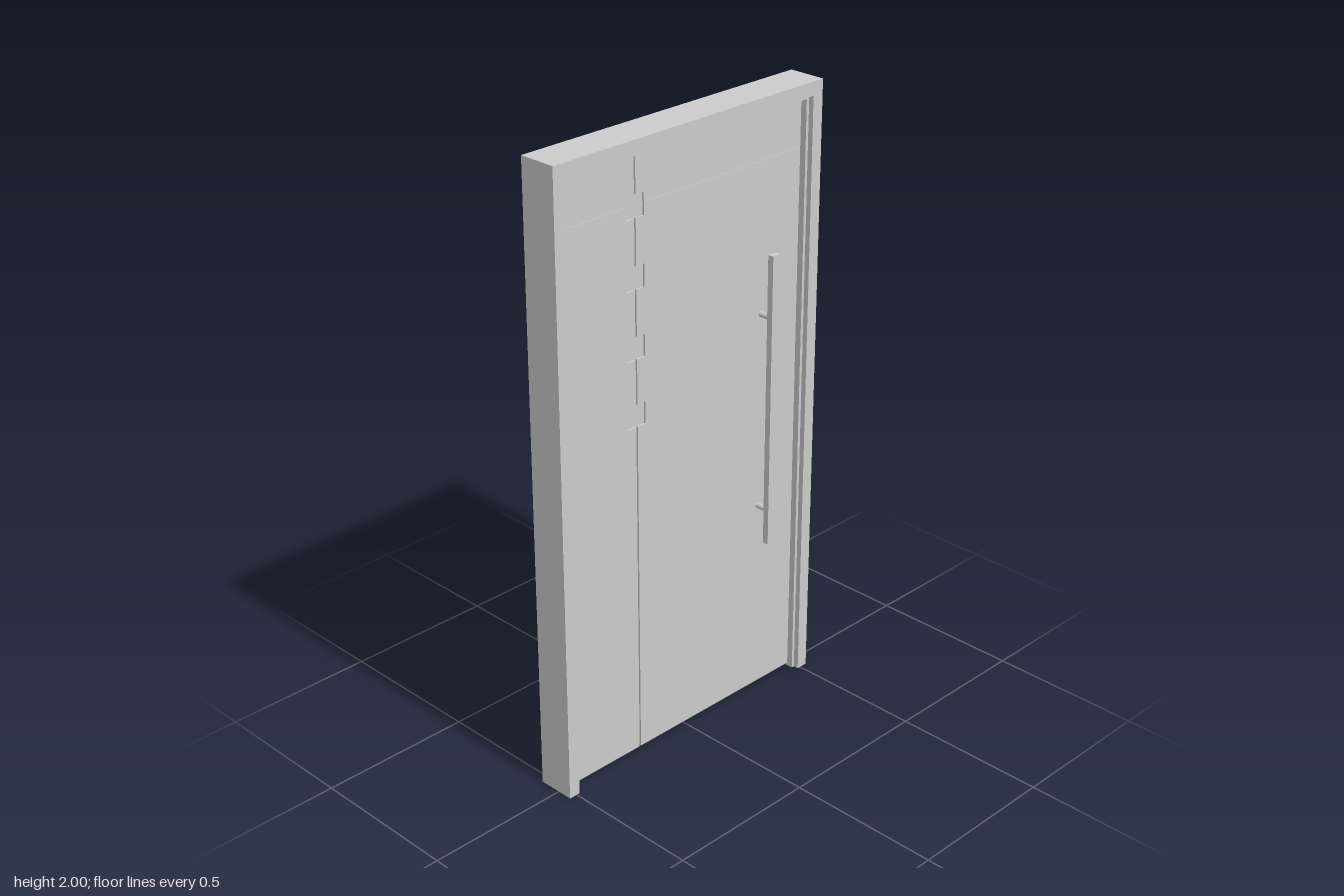
import * as THREE from 'three';

const material = new THREE.MeshStandardMaterial({ color: 0xcccccc });

function add(parent, name, geometry, x = 0, y = 0, z = 0) {
  const mesh = new THREE.Mesh(geometry, material);
  mesh.name = name;
  mesh.position.set(x, y, z);
  parent.add(mesh);
  return mesh;
}

// U-shaped surround, open at the bottom, extruded from z0 to z1
function surround(outerX, outerY, innerX, innerY, z0, z1) {
  const shape = new THREE.Shape([
    [-outerX, 0], [-innerX, 0], [-innerX, innerY], [innerX, innerY],
    [innerX, 0], [outerX, 0], [outerX, outerY], [-outerX, outerY],
  ].map(([x, y]) => new THREE.Vector2(x, y)));
  return new THREE.ExtrudeGeometry(shape, { depth: z1 - z0, bevelEnabled: false }).translate(0, 0, z0);
}

const DOOR = { halfWidth: 0.478, bottom: 0.01, top: 1.945, front: 0.012, back: -0.012 };
const SKIN = 0.006;               // depth of grooves and recesses
const GROOVE_X = -0.197;
const GROOVE_HALF = 0.0035;
const SEAM_Y = 1.795;
const RECESS_HALF = 0.035;
const RECESS_Y = [1.15, 1.363, 1.577, 1.79];

// Face board on one side of the groove, notched by the square recesses
function faceBoard(outerX, side, y0, y1) {
  const edge = GROOVE_X + side * GROOVE_HALF;
  const notch = GROOVE_X + side * RECESS_HALF;
  const points = [[outerX, y0]];
  let x = edge;
  const starts = RECESS_Y.filter((y) => y + RECESS_HALF > y0 && y - RECESS_HALF < y1);
  points.push([starts.some((y) => y - RECESS_HALF < y0) ? notch : edge, y0]);
  for (const y of starts) {
    const low = y - RECESS_HALF, high = y + RECESS_HALF;
    if (low > y0) points.push([x, low], [notch, low]);
    if (high < y1) points.push([notch, high], [x, high]);
    else points.push([notch, y1]);
  }
  if (!starts.some((y) => y + RECESS_HALF >= y1)) points.push([edge, y1]);
  points.push([outerX, y1]);
  const shape = new THREE.Shape(points.map(([px, py]) => new THREE.Vector2(px, py)));
  return new THREE.ExtrudeGeometry(shape, { depth: SKIN, bevelEnabled: false });
}

export function createModel() {
  const model = new THREE.Group();
  model.name = 'entranceDoor';

  // Frame with a stop running around the inside
  const frame = new THREE.Group();
  frame.name = 'frame';
  model.add(frame);
  add(frame, 'outerFrame', surround(0.527, 2, 0.488, 1.957, -0.073, 0.05));
  add(frame, 'doorStop', surround(0.488, 1.957, 0.478, 1.945, -0.035, 0.033));

  // Door leaf: core plus grooved boards on both faces
  const leaf = new THREE.Group();
  leaf.name = 'doorLeaf';
  model.add(leaf);
  const height = DOOR.top - DOOR.bottom;
  const coreDepth = DOOR.front - DOOR.back - 2 * SKIN;
  add(leaf, 'core', new THREE.BoxGeometry(DOOR.halfWidth * 2, height, coreDepth),
    0, DOOR.bottom + height / 2, (DOOR.front + DOOR.back) / 2);
  for (const [face, z] of [['front', DOOR.front - SKIN], ['back', DOOR.back]]) {
    for (const side of [-1, 1]) {
      const outerX = side * DOOR.halfWidth;
      add(leaf, face + 'LowerBoard', faceBoard(outerX, side, DOOR.bottom, SEAM_Y - 0.0005), 0, 0, z);
      add(leaf, face + 'UpperBoard', faceBoard(outerX, side, SEAM_Y + 0.0005, DOOR.top), 0, 0, z);
    }
  }

  // Long bar handles on two round posts, front and back
  for (const [name, barZ, faceZ] of [['frontHandle', 0.0615, DOOR.front], ['backHandle', -0.0625, DOOR.back]]) {
    const handle = new THREE.Group();
    handle.name = name;
    model.add(handle);
    add(handle, 'bar', new THREE.BoxGeometry(0.029, 0.965, 0.02), 0.32, 1.0325, barZ);
    for (const y of [0.662, 1.311]) {
      const post = new THREE.CylinderGeometry(0.009, 0.009, Math.abs(barZ - faceZ), 24).rotateX(Math.PI / 2);
      add(handle, 'post', post, 0.32, y, (barZ + faceZ) / 2);
    }
  }

  return model;
}
